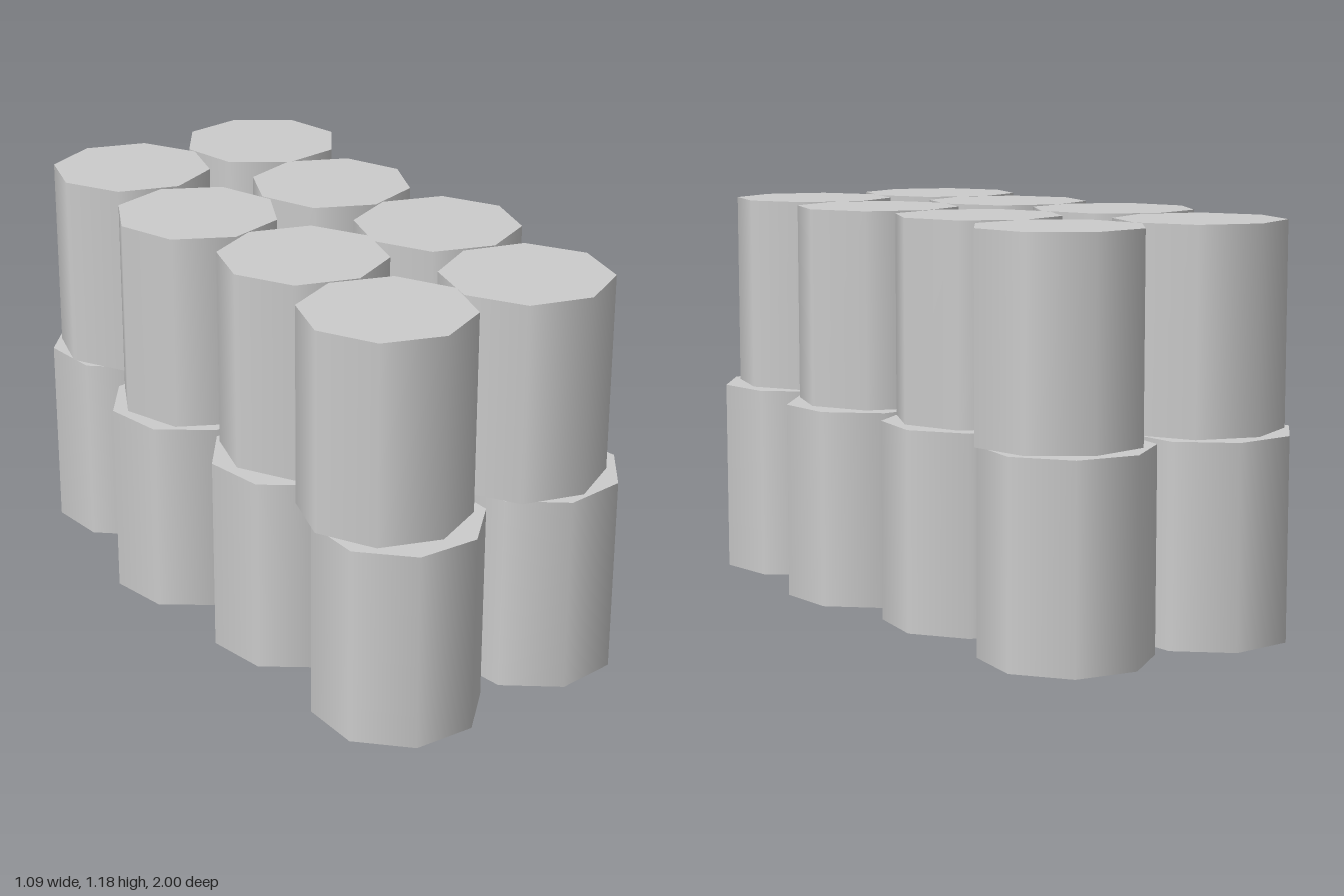
import * as THREE from 'three';

const RADIUS = 0.247, HEIGHT = 0.59, UPPER_Y = 0.595;

// Each barrel: x, z, turn in degrees (from back to front, right then left of the model)
const lowerLayer = [
  [-0.224, -0.762, 17.7], [0.266, -0.762, 29.6],
  [-0.307, -0.24, 12.7], [0.256, -0.243, 30.7],
  [-0.257, 0.25, 13.5], [0.311, 0.233, 18.2],
  [-0.251, 0.771, 22.5], [0.262, 0.732, 14.5],
];
const upperLayer = [
  [-0.213, -0.726, 39.5], [0.272, -0.729, 11.8],
  [-0.27, -0.239, 4.4], [0.217, -0.248, 1.5],
  [-0.211, 0.238, -5.8], [0.264, 0.236, -5],
  [-0.257, 0.71, -4.7], [0.219, 0.71, -8],
];

export function createModel() {
  const model = new THREE.Group();
  model.name = 'stackedBarrels';
  const material = new THREE.MeshStandardMaterial({ color: 0xcccccc });

  // Eight-sided barrel with smooth sides and flat ends, standing on its base
  const barrel = new THREE.CylinderGeometry(RADIUS, RADIUS, HEIGHT, 8);
  barrel.translate(0, HEIGHT / 2, 0);

  const addLayer = (name, spots, y) => {
    const layer = new THREE.Group();
    layer.name = name + 'Layer';
    layer.position.y = y;
    spots.forEach(([x, z, turn], i) => {
      const mesh = new THREE.Mesh(barrel, material);
      mesh.name = `${name}Barrel${i + 1}`;
      mesh.position.set(x, 0, z);
      mesh.rotation.y = -THREE.MathUtils.degToRad(turn);
      layer.add(mesh);
    });
    model.add(layer);
  };

  addLayer('lower', lowerLayer, 0);
  addLayer('upper', upperLayer, UPPER_Y);
  return model;
}
